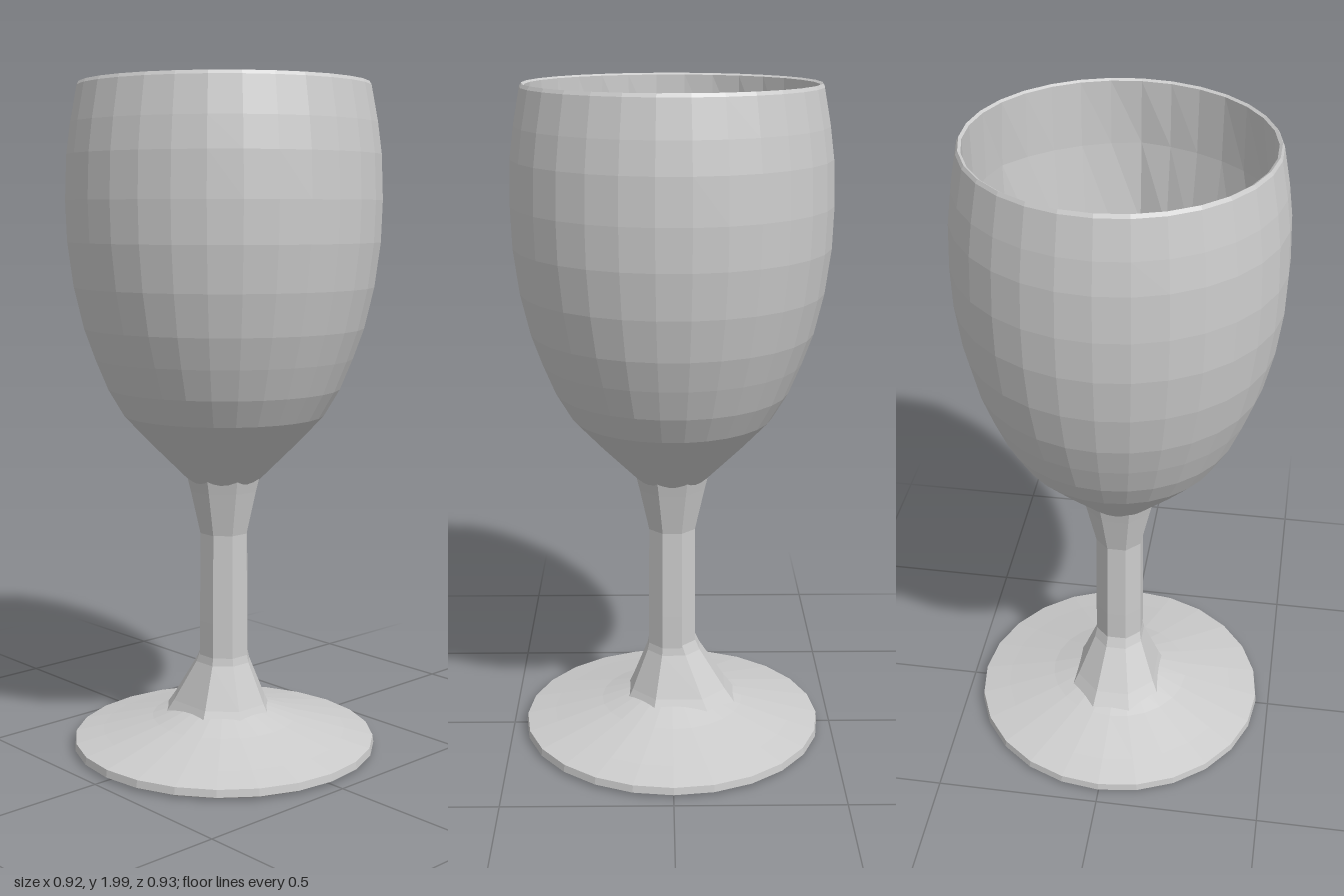
import * as THREE from 'three';

const material = new THREE.MeshStandardMaterial({ color: 0xcccccc, flatShading: true });

// Faceted turned part from [radius, height] pairs
function turned(name, profile, sides, turn = 0) {
  const points = profile.map(([r, y]) => new THREE.Vector2(r, y));
  const mesh = new THREE.Mesh(new THREE.LatheGeometry(points, sides, turn), material);
  mesh.name = name;
  return mesh;
}

// Pulls a round wall in towards a regular polygon, more strongly further down
function facetInside(geometry, faces, topY, bottomY) {
  const p = geometry.attributes.position;
  const step = (Math.PI * 2) / faces;
  for (let i = 0; i < p.count; i++) {
    const x = p.getX(i), y = p.getY(i), z = p.getZ(i);
    const a = Math.atan2(x, z) + Math.PI * 2;
    const local = (a % step) - step / 2;
    const polygon = Math.cos(step / 2) / Math.cos(local);
    const amount = THREE.MathUtils.clamp((topY - y) / (topY - bottomY), 0, 1);
    const k = THREE.MathUtils.lerp(1, polygon, amount);
    p.setXYZ(i, x * k, y, z * k);
  }
  geometry.computeVertexNormals();
}

// Stretches the lower part of a collar towards the back
function leanBack(geometry, topY, amount) {
  const p = geometry.attributes.position;
  for (let i = 0; i < p.count; i++) {
    if (p.getZ(i) < -0.01) p.setZ(i, p.getZ(i) - (topY - p.getY(i)) * amount);
  }
  geometry.computeVertexNormals();
}

export function createModel() {
  const goblet = new THREE.Group();
  goblet.name = 'goblet';

  // Foot: thin disc with a shallow cone on top
  goblet.add(turned('foot', [
    [0, 0.004], [0.44, 0.004], [0.46, 0.014], [0.457, 0.036],
    [0.37, 0.057], [0.22, 0.096], [0.12, 0.13], [0, 0.135],
  ], 24));

  // Collar: joins the stem to the foot, longer towards the back
  const collar = turned('collar', [
    [0.16, 0.09], [0.133, 0.145], [0.082, 0.27], [0.074, 0.31],
  ], 8, Math.PI / 8);
  leanBack(collar.geometry, 0.31, 0.25);
  goblet.add(collar);

  // Stem: flares into the bowl
  goblet.add(turned('stem', [
    [0.078, 0.1], [0.077, 0.4], [0.075, 0.67], [0.105, 0.8], [0.12, 0.86],
  ], 8, Math.PI / 8));

  // Bowl: outer wall up to the rim
  goblet.add(turned('bowlOuter', [
    [0, 0.81], [0.085, 0.81], [0.13, 0.855], [0.225, 0.95], [0.3, 1.03],
    [0.347, 1.11], [0.384, 1.2], [0.416, 1.29], [0.444, 1.41], [0.461, 1.54],
    [0.465, 1.66], [0.46, 1.79], [0.448, 1.88], [0.428, 1.985], [0.422, 1.995],
  ], 30));

  // Bowl: rim and inner wall, turning six-sided towards the floor
  const inside = turned('bowlInner', [
    [0.422, 1.995], [0.414, 1.99], [0.424, 1.8], [0.416, 1.55],
    [0.368, 1.29], [0.24, 1.04], [0.145, 0.95], [0, 0.95],
  ], 30);
  facetInside(inside.geometry, 6, 1.97, 1.25);
  goblet.add(inside);

  return goblet;
}
